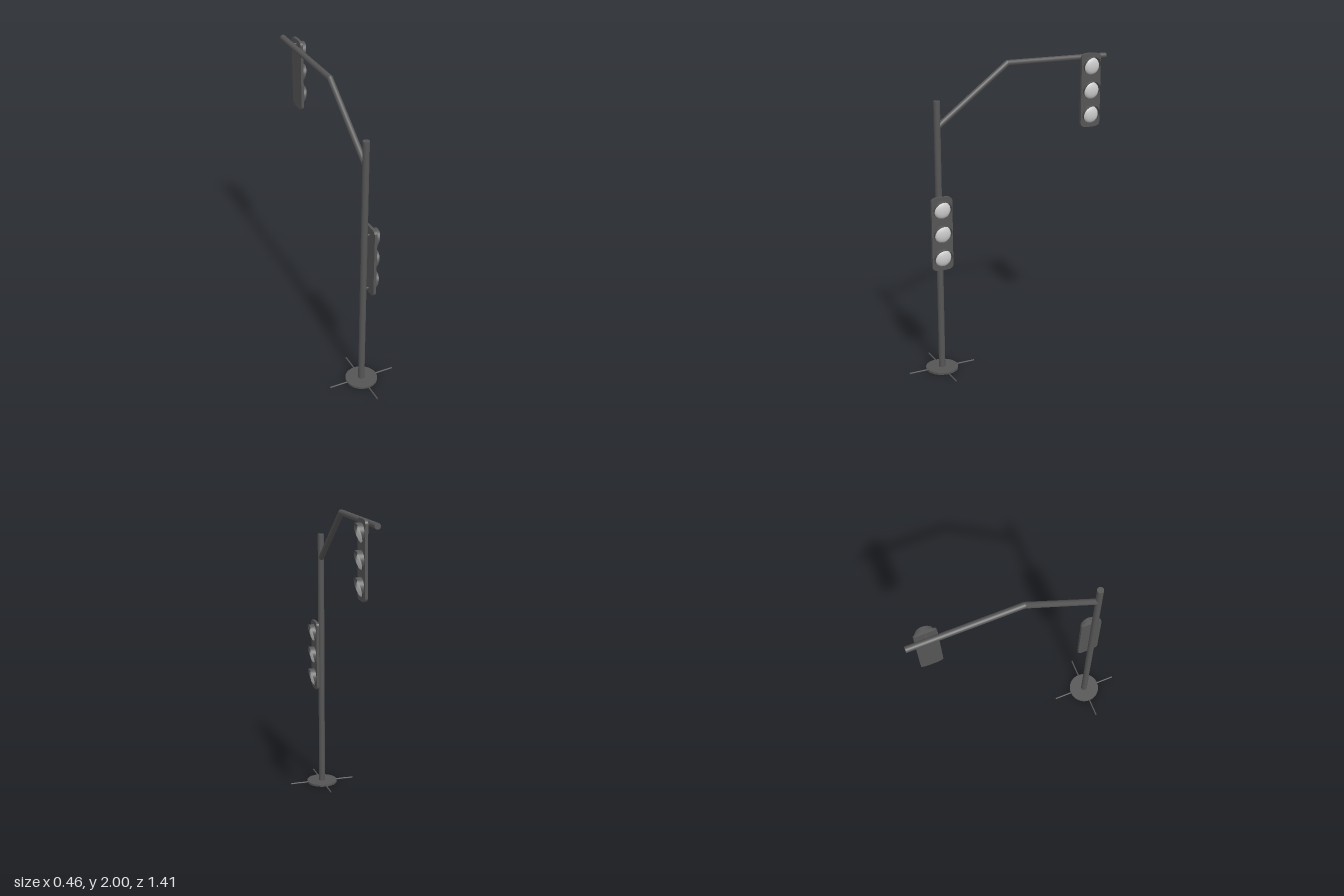
import * as THREE from 'three';

const DARK = new THREE.MeshStandardMaterial({ color: 0x555555 });
const SHELL = new THREE.MeshStandardMaterial({ color: 0x555555, side: THREE.DoubleSide });
const LAMP = new THREE.MeshStandardMaterial({ color: 0xcccccc });
const POLE_Z = 0.477;

function add(parent, name, geometry, material = DARK) {
  const mesh = new THREE.Mesh(geometry, material);
  mesh.name = name;
  parent.add(mesh);
  return mesh;
}

// Round bar between two points
function bar(parent, name, a, b, radius, sides = 20) {
  const from = new THREE.Vector3(...a), to = new THREE.Vector3(...b);
  const dir = to.clone().sub(from);
  const mesh = add(parent, name, new THREE.CylinderGeometry(radius, radius, dir.length(), sides));
  mesh.position.copy(from).add(to).multiplyScalar(0.5);
  mesh.quaternion.setFromUnitVectors(new THREE.Vector3(0, 1, 0), dir.normalize());
  return mesh;
}

// Upright plate with rounded corners and slightly bowed ends
function plateGeometry() {
  const w = 0.07, h = 0.24, c = 0.03;
  const s = new THREE.Shape();
  s.moveTo(-w, -h + c);
  s.quadraticCurveTo(-w, -h + 0.006, -w + c, -h + 0.002);
  s.quadraticCurveTo(0, -h - 0.002, w - c, -h + 0.002);
  s.quadraticCurveTo(w, -h + 0.006, w, -h + c);
  s.lineTo(w, h - c);
  s.quadraticCurveTo(w, h - 0.006, w - c, h - 0.002);
  s.quadraticCurveTo(0, h + 0.002, -w + c, h - 0.002);
  s.quadraticCurveTo(-w, h - 0.006, -w, h - c);
  return new THREE.ExtrudeGeometry(s, { depth: 0.018, bevelEnabled: false, curveSegments: 8 });
}

// Open tube along z, cut obliquely so the top reaches furthest
function visorGeometry() {
  const g = new THREE.CylinderGeometry(0.058, 0.058, 1, 40, 1, true);
  g.rotateX(Math.PI / 2);
  const p = g.attributes.position;
  for (let i = 0; i < p.count; i++) {
    const rise = (p.getY(i) / 0.058 + 1) / 2;
    p.setZ(i, p.getZ(i) > 0 ? 0.002 + 0.036 * rise : 0);
  }
  return g;
}

// Signal head facing local +z, turned to face +x
function signalHead(name, y, z, pins) {
  const head = new THREE.Group();
  head.name = name;
  add(head, 'backPlate', plateGeometry());
  for (const row of [-1, 0, 1]) {
    const visor = add(head, 'visor', visorGeometry(), SHELL);
    visor.position.set(0, row * 0.157, 0.018);
    const dome = new THREE.SphereGeometry(0.055, 28, 10, 0, Math.PI * 2, 0, Math.PI / 2);
    dome.rotateX(Math.PI / 2).scale(1, 1, 0.42);
    const lens = add(head, 'lens', dome, LAMP);
    lens.position.copy(visor.position);
  }
  for (const py of pins) bar(head, 'mountingPin', [0, py, -0.035], [0, py, 0.005], 0.006, 10);
  head.position.set(0.035, y, z);
  head.rotation.y = Math.PI / 2;
  return head;
}

export function createModel() {
  const model = new THREE.Group();
  model.name = 'trafficLight';

  // Base disc with four thin anchor rods
  const base = new THREE.Group();
  base.name = 'base';
  base.position.z = POLE_Z;
  add(base, 'baseDisc', new THREE.CylinderGeometry(0.105, 0.105, 0.014, 40)).position.y = 0.007;
  for (let i = 0; i < 4; i++) {
    const a = i * Math.PI / 2;
    bar(base, 'anchorRod', [0, 0.007, 0],
      [0.228 * Math.cos(a), 0.007, 0.228 * Math.sin(a)], 0.005, 10);
  }
  model.add(base);

  // Pole and bent overhead arm
  bar(model, 'pole', [0, 0, POLE_Z], [0, 1.772, POLE_Z], 0.021, 24);
  const elbow = [0, 1.968, 0];
  bar(model, 'slopedArm', [0, 1.608, POLE_Z], elbow, 0.019);
  bar(model, 'levelArm', elbow, [0, 1.968, -0.706], 0.019);
  add(model, 'armElbow', new THREE.SphereGeometry(0.019, 20, 14)).position.set(...elbow);

  // Signals on the pole and on the arm
  model.add(signalHead('poleSignal', 0.94, POLE_Z, [0.185, -0.21]));
  model.add(signalHead('armSignal', 1.76, -0.573, [0.208]));
  return model;
}
